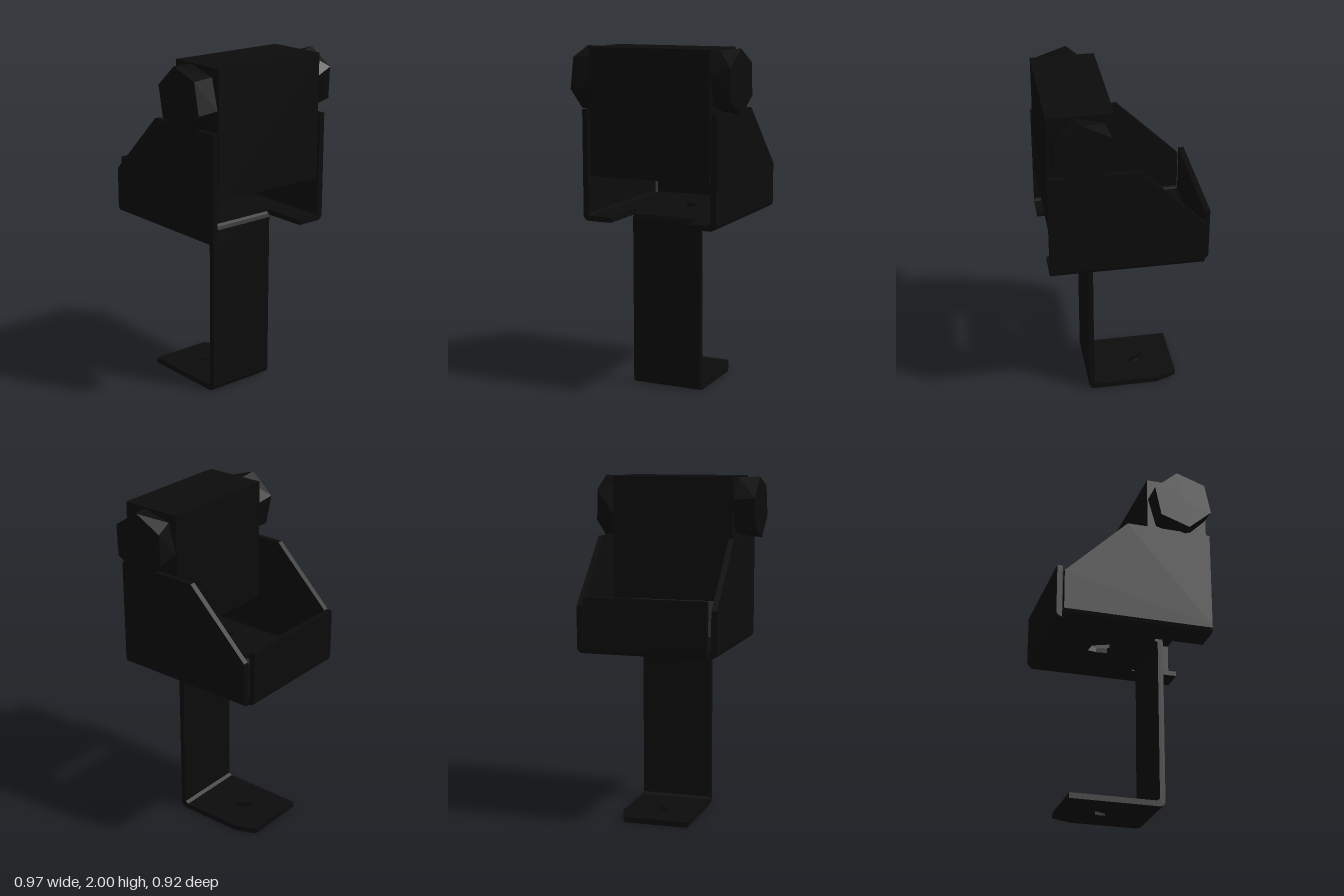
import * as THREE from 'three';

const dark = new THREE.MeshStandardMaterial({ color: 0x0b0b0b, flatShading: true });
const CX = 0.0075; // middle of the sheet-metal bracket

const toShape = (pts) => new THREE.Shape(pts.map(([a, b]) => new THREE.Vector2(a, b)));

function addMesh(group, name, geometry) {
  const mesh = new THREE.Mesh(geometry, dark);
  mesh.name = name;
  group.add(mesh);
  return mesh;
}

// Profile in (z, y), extruded between two x positions
function acrossX(pts, x0, x1) {
  const g = new THREE.ExtrudeGeometry(toShape(pts), { depth: x1 - x0, bevelEnabled: false });
  return g.rotateY(-Math.PI / 2).translate(x1, 0, 0);
}

// Outline in (x, z), forming a flat sheet between two heights
function flatSheet(pts, hole, y0, y1) {
  const shape = toShape(pts);
  shape.holes.push(toShape(hole));
  const g = new THREE.ExtrudeGeometry(shape, { depth: y1 - y0, bevelEnabled: false });
  return g.rotateX(Math.PI / 2).translate(0, y1, 0);
}

// Six-sided head along x whose outer end is turned against its inner end
function hexHead(xIn, xOut, turnIn, turnOut) {
  const len = Math.abs(xOut - xIn);
  const g = new THREE.CylinderGeometry(0.183, 0.183, len, 6);
  const p = g.attributes.position;
  const v = new THREE.Vector3();
  const up = new THREE.Vector3(0, 1, 0);
  for (let i = 0; i < p.count; i++) {
    v.fromBufferAttribute(p, i).applyAxisAngle(up, v.y > 0 ? turnOut : turnIn);
    p.setXYZ(i, v.x, v.y, v.z);
  }
  g.rotateZ(xOut > xIn ? -Math.PI / 2 : Math.PI / 2);
  return g.translate((xIn + xOut) / 2, 1.818, 0.268);
}

export function createModel() {
  const model = new THREE.Group();
  model.name = 'bracket';

  // Cradle floor, with the front cut-out left by the bent-down post
  addMesh(model, 'cradleFloor', flatSheet(
    [[-0.358, 0.46], [-0.228, 0.46], [-0.228, 0.17], [0.243, 0.17], [0.243, 0.46],
      [0.373, 0.46], [0.373, -0.41], [-0.358, -0.41]],
    [[-0.075, -0.065], [-0.035, -0.16], [0.035, -0.165], [0.048, -0.11], [0.042, -0.045], [0.015, -0.035]],
    1.01, 1.04));

  // Side walls with sloping top edge, and the bends joining them to the floor
  for (const s of [-1, 1]) {
    const inner = CX + s * 0.38, outer = CX + s * 0.4125;
    addMesh(model, s > 0 ? 'leftWall' : 'rightWall', acrossX(
      [[0.46, 1.055], [0.46, 1.65], [-0.05, 1.65], [-0.425, 1.28], [-0.425, 1.055]],
      Math.min(inner, outer), Math.max(inner, outer)));
    const bend = [[0.365, 1.01], [0.385, 1.01], [0.404, 1.02], [0.4125, 1.04], [0.4125, 1.055],
      [0.38, 1.055], [0.376, 1.044], [0.365, 1.04]].map(([x, y]) => [CX + s * x, y]);
    const g = new THREE.ExtrudeGeometry(toShape(bend), { depth: 0.885, bevelEnabled: false });
    addMesh(model, s > 0 ? 'leftBend' : 'rightBend', g.translate(0, 0, -0.425));
  }

  // Back wall with its bend
  addMesh(model, 'backWall', acrossX(
    [[-0.41, 1.04], [-0.41, 1.01], [-0.43, 1.01], [-0.448, 1.018], [-0.457, 1.035],
      [-0.457, 1.335], [-0.425, 1.335], [-0.425, 1.05]],
    CX - 0.363, CX + 0.363));

  // Post, bent from the floor at the top and into the foot at the bottom
  addMesh(model, 'post', acrossX(
    [[0.17, 1.04], [0.2, 1.036], [0.215, 1.025], [0.222, 1.005], [0.222, 0.03], [0.214, 0.01],
      [0.195, 0], [0.17, 0], [0.17, 0.033], [0.19, 0.045], [0.19, 1.0], [0.17, 1.01]],
    CX - 0.215, CX + 0.215));

  // Foot with one clipped corner
  addMesh(model, 'foot', flatSheet(
    [[-0.2075, 0.17], [0.2225, 0.17], [0.2225, -0.2], [0.195, -0.28], [0.17, -0.327], [-0.2075, -0.327]],
    [[-0.035, -0.152], [0.043, -0.112], [0.038, -0.055], [0.014, -0.045]],
    0, 0.033));

  // Clamped block and the hexagonal heads on either side
  const block = addMesh(model, 'block', new THREE.BoxGeometry(0.736, 0.73, 0.368));
  block.position.set(CX, 1.635, 0.27);
  addMesh(model, 'leftHead', hexHead(0.375, 0.486, 0.27, 0.04));
  addMesh(model, 'rightHead', hexHead(-0.36, -0.488, 0.26, 0.2));

  // Bend the hexagons so a corner points up
  for (const name of ['leftHead', 'rightHead']) {
    const head = model.getObjectByName(name);
    head.geometry.translate(0, -1.818, -0.268).rotateX(Math.PI / 2);
    head.position.set(0, 1.818, 0.268);
  }
  return model;
}
